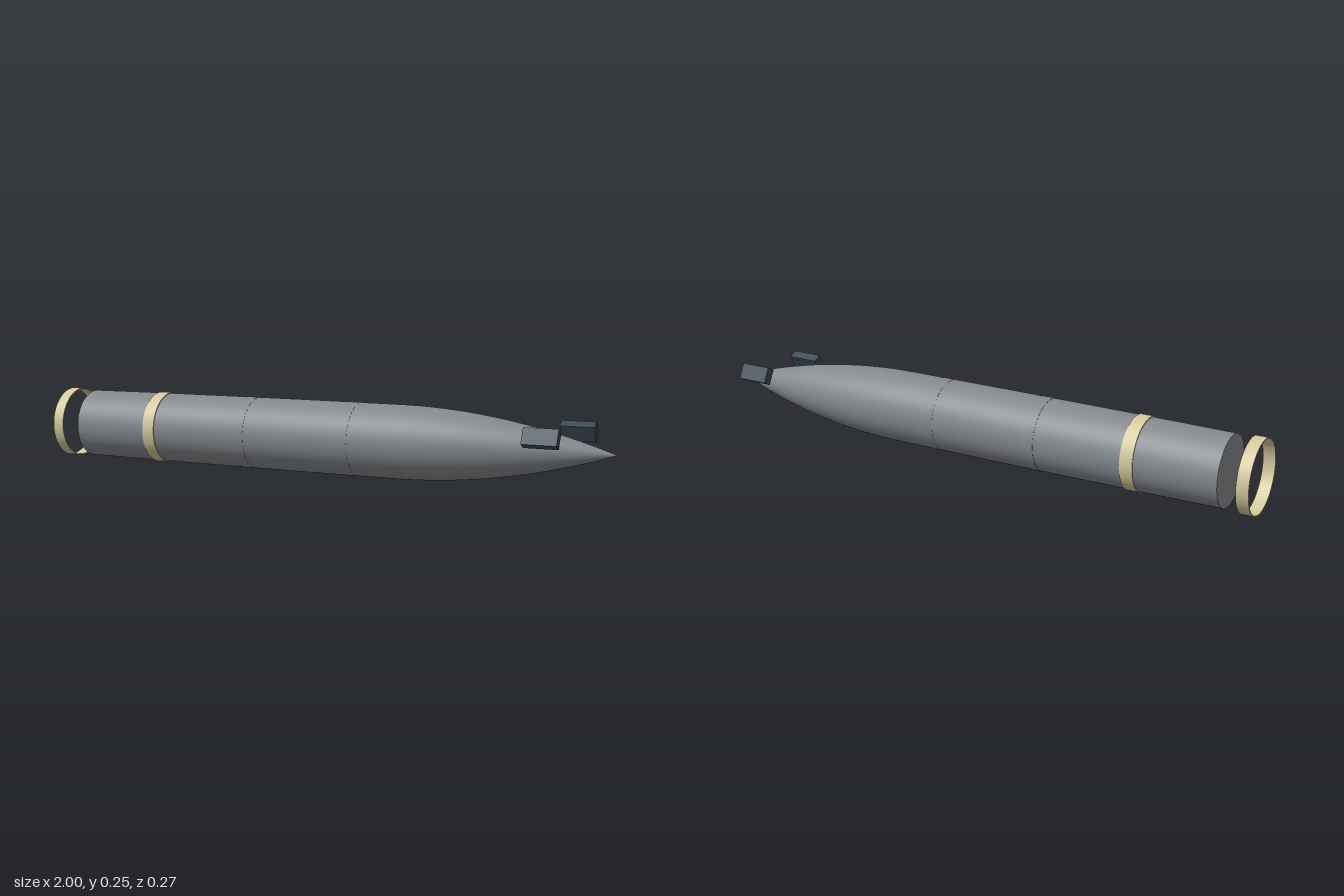
import * as THREE from 'three';
import { toCreasedNormals } from 'three/addons/utils/BufferGeometryUtils.js';

const AXIS_Y = 0.126;
const SEGMENTS = 64;

export function createModel() {
  const steel = new THREE.MeshStandardMaterial({ color: 0x85898d });
  steel.name = 'steel grey';
  const brass = new THREE.MeshStandardMaterial({ color: 0xd6cba0 });
  brass.name = 'pale brass';
  const slate = new THREE.MeshStandardMaterial({ color: 0x3c4a57 });
  slate.name = 'slate blue';

  const model = new THREE.Group();
  model.name = 'shell';

  const add = (name, geometry, material) => {
    const mesh = new THREE.Mesh(geometry, material);
    mesh.name = name;
    model.add(mesh);
    return mesh;
  };

  // Turns a [x, radius] profile around the long axis
  const turned = (profile) => {
    const points = profile.map(([x, r]) => new THREE.Vector2(r, x));
    return new THREE.LatheGeometry(points, SEGMENTS).rotateZ(-Math.PI / 2).translate(0, AXIS_Y, 0);
  };

  // Body: gently widening tube running into a long pointed ogive
  const profile = [[-0.9, 0.1175], [-0.7, 0.1195], [-0.4, 0.1212], [-0.1, 0.1225], [0.28, 0.1225]];
  for (let i = 1; i <= 24; i++) {
    const t = i / 24;
    profile.push([0.28 + 0.72 * t, 0.1225 * (1 - 0.42 * t - 0.58 * t * t) + 0.051 * t * (1 - t)]);
  }
  add('body', turned(profile), steel);

  // Flat base closing the tail
  add('base', new THREE.CircleGeometry(0.1175, SEGMENTS).rotateY(-Math.PI / 2).translate(-0.9, AXIS_Y, 0), steel);

  // Closed bands: a free ring behind the tail, a driving band, and two flush joints
  const band = (name, x0, x1, inner, outer, material) => {
    const ring = turned([[x0, inner], [x0, outer], [x1, outer], [x1, inner], [x0, inner]]);
    add(name, toCreasedNormals(ring, 0.6), material);
  };
  band('rearRing', -1, -0.96, 0.1185, 0.1225, brass);
  band('drivingBand', -0.627, -0.583, 0.116, 0.1232, brass);
  band('rearJoint', -0.28, -0.235, 0.118, 0.1226, steel);
  band('frontJoint', 0.1, 0.145, 0.118, 0.1231, steel);

  // Two blocks beside the nose, tilted to follow the circumference
  for (const [name, x, side] of [['frontBlock', 0.786, 1], ['rearBlock', 0.851, -1]]) {
    const block = add(name, new THREE.BoxGeometry(0.112, 0.056, 0.033), slate);
    block.position.set(x, 0.18, side * 0.107);
    block.rotation.x = -side * 0.48;
  }

  return model;
}
